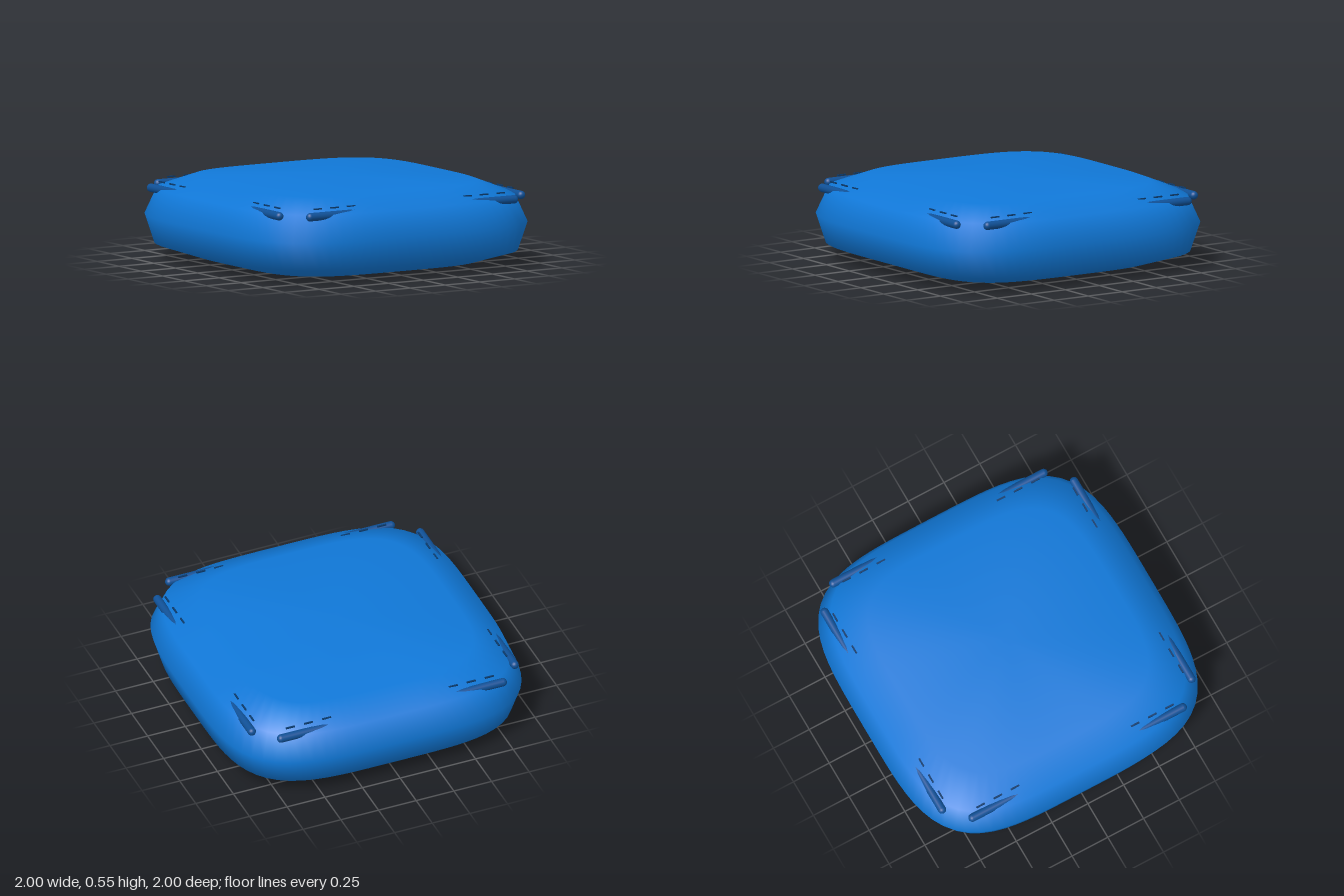
import * as THREE from 'three';
import { mergeVertices } from 'three/addons/utils/BufferGeometryUtils.js';

const blue = new THREE.MeshStandardMaterial({ name: 'cushion blue', color: 0x1078d8 });
const midBlue = new THREE.MeshStandardMaterial({ name: 'handle blue', color: 0x0f5096 });
const navy = new THREE.MeshStandardMaterial({ name: 'stitch navy', color: 0x0a3a6c });

// Lathe whose round rings are pushed out to rounded squares
function cushionGeometry() {
  const profile = [[0, 0], [0.74, 0.024], [0.95, 0.095], [1, 0.27], [0.935, 0.435], [0.74, 0.515], [0, 0.55]]
    .map(([r, y]) => new THREE.Vector2(r, y));
  let geo = new THREE.LatheGeometry(profile, 96);
  const pos = geo.attributes.position;
  for (let i = 0; i < pos.count; i++) {
    const x = pos.getX(i), z = pos.getZ(i), r = Math.hypot(x, z);
    if (r < 1e-6) continue;
    const k = 1 / Math.pow((x / r) ** 4 + (z / r) ** 4, 0.25);
    pos.setXYZ(i, x * k, pos.getY(i), z * k);
  }
  // Weld the seam so the shading is smooth all round
  geo.deleteAttribute('uv');
  geo.deleteAttribute('normal');
  geo = mergeVertices(geo, 1e-4);
  geo.computeVertexNormals();
  return geo;
}

export function createModel() {
  const model = new THREE.Group();
  model.name = 'cushion';

  const body = new THREE.Mesh(cushionGeometry(), blue);
  body.name = 'cushionBody';
  model.add(body);

  const rodGeo = new THREE.CapsuleGeometry(0.026, 0.36, 8, 16).rotateZ(Math.PI / 2);
  const stitchGeo = new THREE.BoxGeometry(0.058, 0.008, 0.01);

  // Each side carries two half-sunk rods with a row of stitches behind them
  for (let side = 0; side < 4; side++) {
    const edge = new THREE.Group();
    edge.name = 'edgeTrim';
    edge.rotation.y = side * Math.PI / 2;
    for (const s of [-1, 1]) {
      const rod = new THREE.Mesh(rodGeo, midBlue);
      rod.name = 'cornerRod';
      rod.position.set(s * 0.555, 0.428, 0.872);
      edge.add(rod);
      for (let i = 0; i < 3; i++) {
        const stitch = new THREE.Mesh(stitchGeo, navy);
        stitch.name = 'stitch';
        stitch.position.set(s * (0.66 - i * 0.12), 0.469, 0.84);
        edge.add(stitch);
      }
    }
    model.add(edge);
  }
  return model;
}
